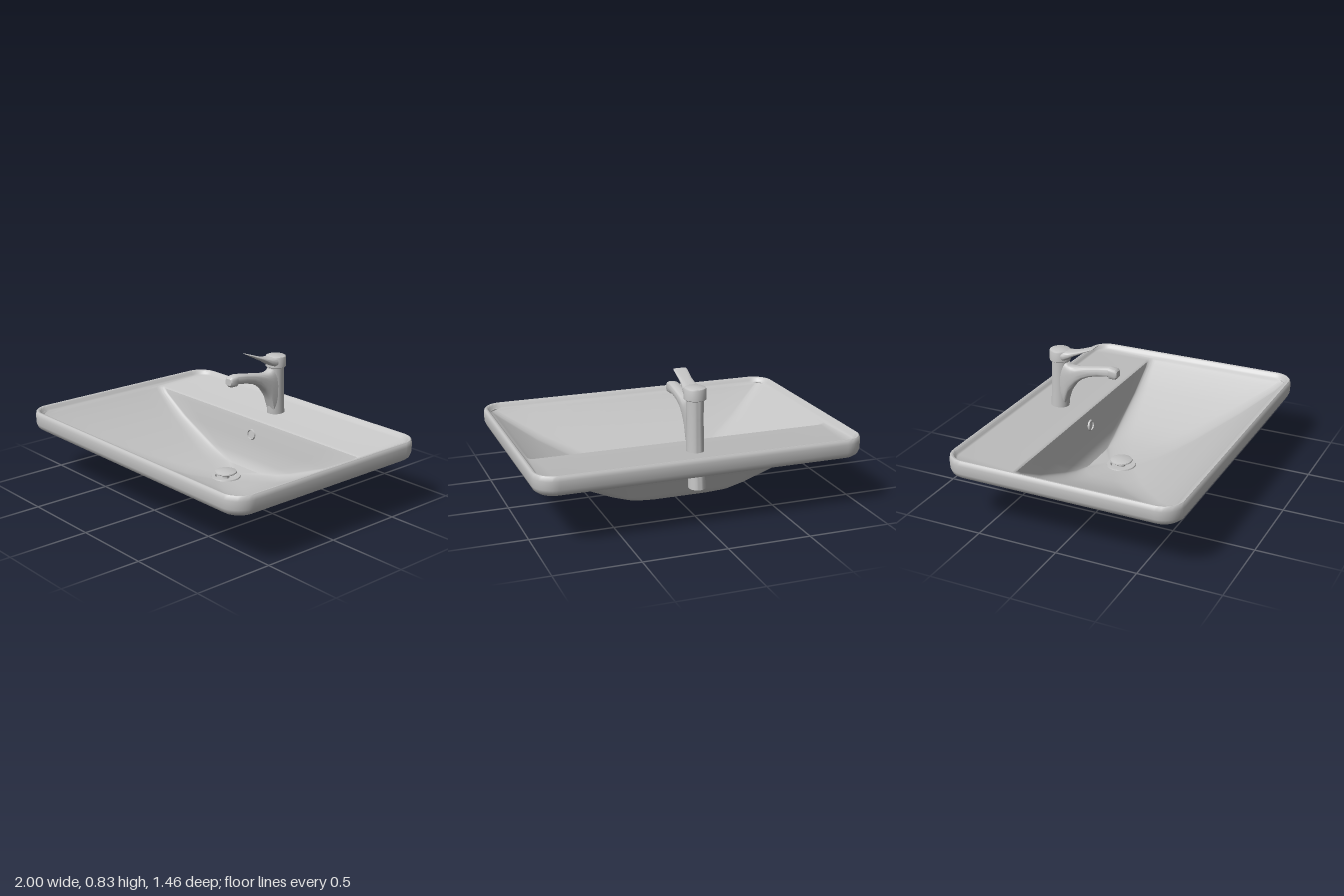
import * as THREE from 'three';
import { toCreasedNormals } from 'three/addons/utils/BufferGeometryUtils.js';

// Skin a list of closed loops (equal point counts); optional fan caps
function loft(loops, caps = false) {
  if (caps) {
    const centre = l => {
      const c = l.reduce((s, p) => s.add(p), new THREE.Vector3()).divideScalar(l.length);
      return l.map(() => c);
    };
    loops = [centre(loops[0]), ...loops, centre(loops[loops.length - 1])];
  }
  const n = loops[0].length, idx = [];
  for (let i = 0; i < loops.length - 1; i++) {
    for (let j = 0; j < n; j++) {
      const k = (j + 1) % n, a = i * n + j, b = i * n + k, c = b + n, d = a + n;
      idx.push(a, b, c, a, c, d);
    }
  }
  const g = new THREE.BufferGeometry().setFromPoints(loops.flat());
  g.setIndex(idx);
  return toCreasedNormals(g, 0.7);
}

// Horizontal rounded rectangle, with the corner radius limited to fit
function roundedLoop(y, hx, zf, zb, radius) {
  const pts = [], K = 10, S = 8, r = Math.min(radius, hx, (zf - zb) / 2);
  const corners = [[hx - r, zf - r], [r - hx, zf - r], [r - hx, zb + r], [hx - r, zb + r]];
  const at = (q, t) => {
    const a = (q + t) * Math.PI / 2, [cx, cz] = corners[q % 4];
    return new THREE.Vector3(cx + r * Math.cos(a), y, cz + r * Math.sin(a));
  };
  for (let q = 0; q < 4; q++) {
    for (let i = 0; i <= K; i++) pts.push(at(q, i / K));
    // points along the straight side to the next corner
    for (let i = 1; i < S; i++) pts.push(at(q, 1).lerp(at(q + 1, 0), i / S));
  }
  return pts;
}

// Vertical slice facing z: z, top, bottom, half width
function slice([z, top, bottom, hw]) {
  const soft = v => Math.sign(v) * Math.abs(v) ** 0.65;
  return Array.from({ length: 32 }, (_, i) => {
    const t = i / 32 * Math.PI * 2;
    return new THREE.Vector3(hw * soft(Math.cos(t)),
      (top + bottom) / 2 + (top - bottom) / 2 * soft(Math.sin(t)), z);
  });
}

// Horizontal ellipse: height, centre z, x radius, z radius
function ring([y, cz, rx, rz]) {
  return Array.from({ length: 36 }, (_, i) => {
    const t = i / 36 * Math.PI * 2;
    return new THREE.Vector3(rx * Math.cos(t), y, cz + rz * Math.sin(t));
  });
}

function lathe(points) {
  const g = new THREE.LatheGeometry(points.map(p => new THREE.Vector2(...p)), 40);
  return toCreasedNormals(g, 0.7);
}

// Basin shell: up the inside, over the rim and down the outside
function basinGeometry() {
  // height, half width, front z, back z
  const inside = [
    [0.07, 0.08, 0.01, -0.15],
    [0.085, 0.24, 0.11, -0.235],
    [0.11, 0.35, 0.19, -0.252],
    [0.15, 0.46, 0.28, -0.265],
    [0.26, 0.71, 0.48, -0.281],
    [0.37, 0.895, 0.64, -0.292],
    [0.395, 0.93, 0.665, -0.297],
    [0.404, 0.942, 0.675, -0.31],
  ];
  // height, inset from the outer edge
  const rim = [
    [0.41, 0.045], [0.418, 0.035], [0.434, 0.028], [0.44, 0.02], [0.44, 0.01],
    [0.434, 0.004], [0.41, 0], [0.36, 0.002], [0.335, 0.012], [0.32, 0.032],
  ];
  const underside = [
    [0.308, 0.94, 0.68, -0.66],
    [0.295, 0.905, 0.645, -0.56],
    [0.28, 0.87, 0.615, -0.475],
    [0.25, 0.8, 0.56, -0.405],
    [0.21, 0.715, 0.495, -0.365],
    [0.09, 0.46, 0.305, -0.312],
    [0.055, 0.37, 0.235, -0.29],
    [0.037, 0.28, 0.17, -0.26],
    [0.03, 0.2, 0.1, -0.225],
    [0.028, 0.14, 0.07, -0.21],
    [0.014, 0.1, 0.03, -0.17],
    [0.012, 0.065, -0.005, -0.135],
  ];
  return loft([
    ...inside.map(p => roundedLoop(...p, 0.12 - 0.2 * p[0])),
    ...rim.map(([y, d]) => roundedLoop(y, 1 - d, 0.73 - d, d - 0.73, 0.13 - d)),
    ...underside.map(p => roundedLoop(...p, 0.12)),
  ]);
}

export function createModel() {
  const model = new THREE.Group();
  model.name = 'washbasin';
  const ceramic = new THREE.MeshStandardMaterial({ color: 0xc4c4c4, side: THREE.DoubleSide });
  ceramic.name = 'light grey';
  const add = (name, geometry, parent = model) => {
    const m = new THREE.Mesh(geometry, ceramic);
    m.name = name;
    parent.add(m);
    return m;
  };

  add('basin', basinGeometry());

  // Drain: flange, domed stopper and outlet collar below
  const drain = new THREE.Group();
  drain.name = 'drain';
  drain.position.z = -0.07;
  model.add(drain);
  add('drainFlange', lathe([[0, 0.062], [0.06, 0.066], [0.068, 0.078], [0.09, 0.078], [0.094, 0.068]]), drain);
  add('stopper', lathe([[0, 0.06], [0.022, 0.06], [0.022, 0.092], [0.062, 0.094], [0.07, 0.1],
    [0.068, 0.107], [0.05, 0.113], [0, 0.116]]), drain);
  add('outletCollar', lathe([[0, 0.05], [0.042, 0.05], [0.042, 0.004], [0.046, 0], [0.06, 0],
    [0.066, 0.006], [0.066, 0.03]]), drain);

  // Overflow ring on the steep back wall
  const overflow = add('overflowRing', lathe([[0, 0.002], [0.026, 0.002], [0.028, 0.01], [0.033, 0.01], [0.036, 0]]));
  overflow.position.set(0, 0.3, -0.285);
  overflow.rotation.x = Math.PI / 2 - 0.1;

  // Mixer tap
  const tap = new THREE.Group();
  tap.name = 'tap';
  model.add(tap);
  add('tapBody', loft([
    [0.72, -0.485, 0.052, 0.054],
    [0.6, -0.488, 0.049, 0.055],
    [0.42, -0.492, 0.052, 0.059],
    [0.3, -0.513, 0.05, 0.053],
    [0.19, -0.527, 0.05, 0.053],
  ].map(ring), true), tap);
  add('spout', loft([
    [-0.49, 0.715, 0.42, 0.046],
    [-0.445, 0.715, 0.42, 0.046],
    [-0.42, 0.695, 0.5, 0.044],
    [-0.4, 0.688, 0.535, 0.042],
    [-0.37, 0.688, 0.577, 0.04],
    [-0.33, 0.694, 0.612, 0.037],
    [-0.28, 0.702, 0.636, 0.035],
    [-0.22, 0.712, 0.652, 0.034],
    [-0.144, 0.723, 0.662, 0.034],
    [-0.14, 0.723, 0.65, 0.034],
    [-0.1, 0.717, 0.65, 0.033],
    [-0.088, 0.704, 0.662, 0.027],
  ].map(slice), true), tap);
  add('handleCap', lathe([[0, 0.712], [0.06, 0.712], [0.065, 0.716], [0.065, 0.775],
    [0.062, 0.782], [0.054, 0.786], [0, 0.787]]), tap).position.z = -0.487;
  add('lever', loft([
    [-0.49, 0.784, 0.72, 0.06],
    [-0.44, 0.784, 0.722, 0.056],
    [-0.41, 0.785, 0.738, 0.05],
    [-0.38, 0.789, 0.758, 0.043],
    [-0.34, 0.801, 0.777, 0.039],
    [-0.25, 0.831, 0.824, 0.042],
    [-0.24, 0.834, 0.83, 0.038],
  ].map(slice), true), tap);

  return model;
}
